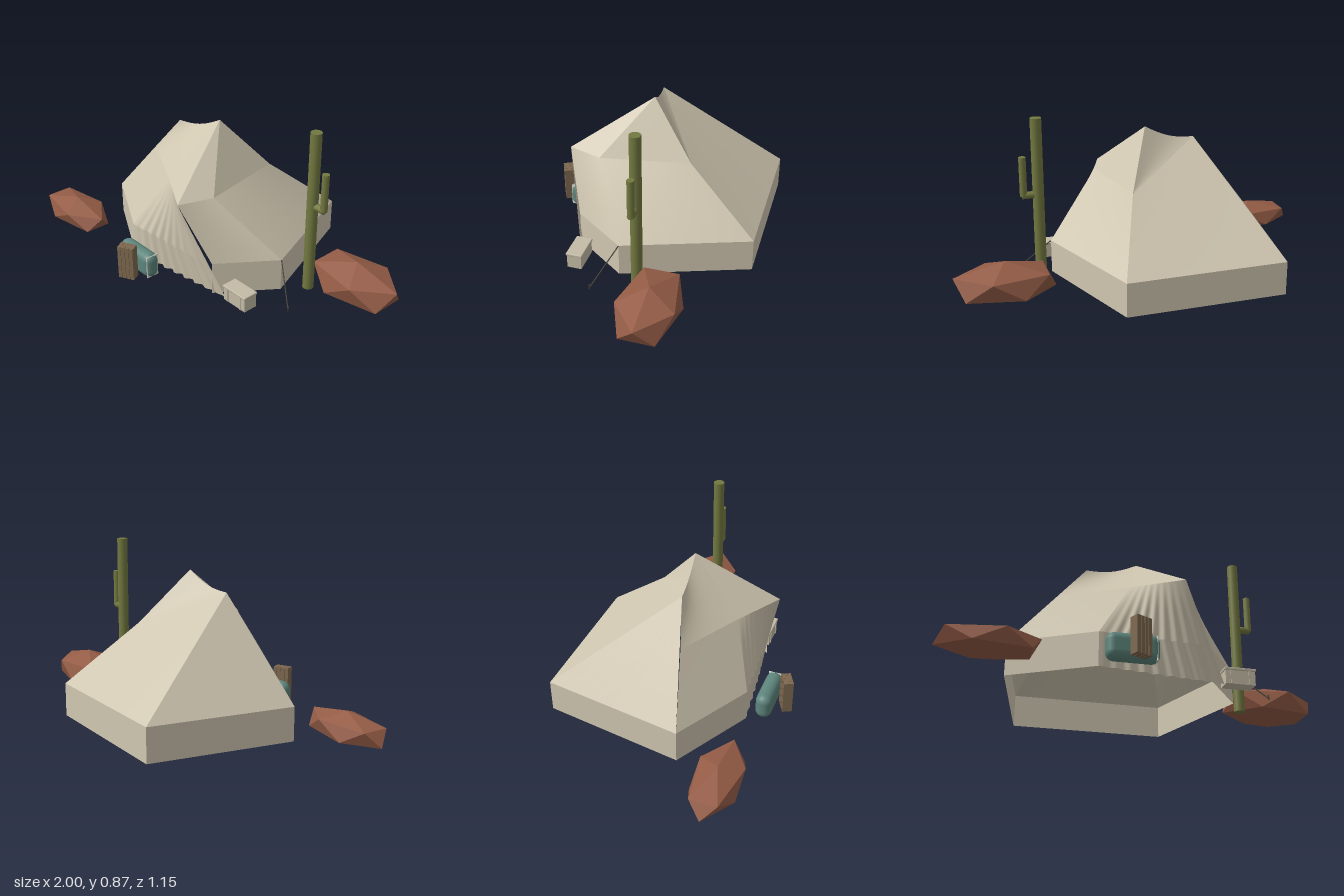
import * as THREE from 'three';
import { ConvexGeometry } from 'three/addons/geometries/ConvexGeometry.js';
import { RoundedBoxGeometry } from 'three/addons/geometries/RoundedBoxGeometry.js';

const material = (name, color) => {
  const m = new THREE.MeshStandardMaterial({ color });
  m.name = name;
  return m;
};

export function createModel() {
  const model = new THREE.Group();
  model.name = 'desertCamp';
  const canvas = material('canvas', 0xd0c7b1);
  canvas.side = THREE.DoubleSide;
  const rock = material('redRock', 0x945c46);
  const cactusGreen = material('cactusGreen', 0x737940);
  const teal = material('tealCloth', 0x5d857c);
  const wood = material('wood', 0x7d684f);
  const pale = material('paleBox', 0xc4bba6);
  const dark = material('darkRope', 0x4a4238);
  const white = material('whiteStrap', 0xd8d8d0);

  const v = (x, y, z) => new THREE.Vector3(x, y, z);
  const add = (name, geometry, mat, x = 0, y = 0, z = 0, parent = model) => {
    const mesh = new THREE.Mesh(geometry, mat);
    mesh.name = name;
    mesh.position.set(x, y, z);
    parent.add(mesh);
    return mesh;
  };

  // Cloth panel between a top edge (a to b) and a bottom edge (c to d)
  const tent = new THREE.Group();
  tent.name = 'tent';
  model.add(tent);
  const panel = (name, a, b, c, d, { sag = 0, nu = 8, nv = 4, pleat = null } = {}) => {
    const pos = [], idx = [];
    for (let j = 0; j <= nv; j++) {
      for (let i = 0; i <= nu; i++) {
        const s = i / nu, t = j / nv;
        const p = a.clone().lerp(b, s).lerp(c.clone().lerp(d, s), t);
        p.y -= sag * (1 - t) * Math.sin(Math.PI * s);
        if (pleat) p.z += pleat(s, t);
        pos.push(p.x, p.y, p.z);
        if (i < nu && j < nv) {
          const k = j * (nu + 1) + i;
          idx.push(k, k + nu + 1, k + 1, k + 1, k + nu + 1, k + nu + 2);
        }
      }
    }
    const g = new THREE.BufferGeometry();
    g.setAttribute('position', new THREE.Float32BufferAttribute(pos, 3));
    g.setIndex(idx);
    g.computeVertexNormals();
    return add(name, g, canvas, 0, 0, 0, tent);
  };

  // Two peaks, shoulder ring and eave ring
  const P = v(-0.01, 0.77, 0.005), G = v(-0.28, 0.69, 0.04);
  const H = v(0.12, 0.5, -0.22), R = v(0.2, 0.5, 0.23), F = v(0.14, 0.5, 0.405);
  const Q = v(-0.1, 0.5, 0.265), L = v(-0.43, 0.5, 0.09);
  const A = v(-0.55, 0.2, -0.565), B = v(0.255, 0.2, -0.577), C = v(0.48, 0.2, 0.04);
  const T = v(0.28, 0.2, 0.315), E = v(-0.27, 0.2, 0.375), D = v(-0.67, 0.2, 0.16);
  const ground = (p) => v(p.x, 0.03, p.z);

  // Upper roof
  panel('roofFrontLeft', G, P, L, Q, { sag: 0.022, nu: 12 });
  panel('roofRidgeBack', P, G, H, H, { sag: 0.022, nu: 12, nv: 8 });
  panel('roofDoorLeft', P, P, Q, F);
  panel('roofDoorRight', P, P, F, R);
  panel('roofRight', P, P, R, H);

  // Lower roof
  panel('roofBack', H, G, B, A);
  panel('roofSide', G, G, A, D);
  panel('slopeFrontLeft', L, Q, D, E);
  panel('slopeRight', R, H, C, B);
  panel('slopeFrontRight', F, R, T, C);

  // Pleated door sheet, upper and lower parts
  const S = v(0.35, 0.03, 0.29), M = F.clone().lerp(S, 0.638);
  const wave = (s) => Math.sin(s * Math.PI * 18) * Math.min(1, 4 * s * (1 - s));
  panel('doorSheetUpper', Q, F, E, M, { nu: 90, nv: 6, pleat: (s, t) => 0.007 * t * wave(s) });
  panel('doorSheetLower', E, M, ground(E), S, { nu: 90, nv: 4, pleat: (s, t) => (0.007 + 0.002 * t) * wave(s) });

  // Upright walls
  [[A, B], [B, C], [C, T], [E, D], [D, A]].forEach(([a, b], i) =>
    panel('wall' + (i + 1), a, b, ground(a), ground(b), { nu: 1, nv: 1 }));

  // Guy rope and peg
  const ropeEnd = v(0.63, 0.035, 0.14);
  add('guyRope', new THREE.TubeGeometry(new THREE.LineCurve3(C, ropeEnd), 1, 0.003, 6), dark);
  add('peg', new THREE.CylinderGeometry(0.004, 0.003, 0.025, 6), dark, 0.63, 0.04, 0.14);

  // Cactus with one bent arm
  const cactus = new THREE.Group();
  cactus.name = 'cactus';
  model.add(cactus);
  add('cactusTrunk', new THREE.CylinderGeometry(0.028, 0.028, 0.845, 16), cactusGreen, 0.555, 0.4525, -0.077, cactus);
  add('cactusElbow', new THREE.CylinderGeometry(0.018, 0.018, 0.075, 12), cactusGreen, 0.595, 0.495, -0.077, cactus)
    .rotation.z = Math.PI / 2;
  add('cactusArm', new THREE.CylinderGeometry(0.018, 0.018, 0.195, 12), cactusGreen, 0.627, 0.59, -0.077, cactus);

  // Faceted boulders: two poles and two rings of five
  const boulder = (name, rx, ry, rz, x, y, z) => {
    const pts = [v(0, ry, 0), v(0, -ry, 0)];
    for (let i = 0; i < 5; i++) {
      const a = i * Math.PI * 0.4;
      const px = rx * 0.894 * Math.cos(a), pz = rz * 0.894 * Math.sin(a);
      pts.push(v(px, ry * 0.447, pz), v(-px, -ry * 0.447, pz));
    }
    add(name, new ConvexGeometry(pts), rock, x, y, z);
  };
  boulder('boulderFront', 0.263, 0.081, 0.13, -0.765, 0.085, 0.4);
  boulder('boulderSide', 0.276, 0.107, 0.167, 0.752, 0.112, -0.2);

  // Bedroll with a narrow strap
  add('bedroll', new RoundedBoxGeometry(0.25, 0.135, 0.082, 6, 0.04), teal, -0.13, 0.0975, 0.449);
  add('bedrollStrap', new RoundedBoxGeometry(0.006, 0.13, 0.078, 1, 0.003), white, -0.022, 0.0975, 0.449)
    .scale.set(1, 0.93, 0.9);

  // Upright crate with slats on both faces
  const crate = new THREE.Group();
  crate.name = 'crate';
  crate.position.set(-0.111, 0.12, 0.534);
  crate.rotation.y = 0.47;
  model.add(crate);
  add('crateBody', new THREE.BoxGeometry(0.084, 0.178, 0.042), wood, 0, 0, 0, crate);
  for (let i = 0; i < 4; i++) {
    add('crateSlat' + (i + 1), new THREE.BoxGeometry(0.018, 0.18, 0.05), wood, -0.033 + i * 0.022, 0, 0, crate);
  }

  // Cool box with lid and front ribs
  const box = new THREE.Group();
  box.name = 'coolBox';
  box.position.set(0.428, 0, 0.267);
  model.add(box);
  add('boxBody', new THREE.BoxGeometry(0.148, 0.072, 0.074), pale, 0, 0.066, 0, box);
  add('boxLid', new RoundedBoxGeometry(0.156, 0.014, 0.084, 2, 0.004), pale, 0, 0.106, 0, box);
  for (const x of [-0.045, 0.045]) {
    add('boxRib', new THREE.BoxGeometry(0.008, 0.07, 0.006), pale, x, 0.066, 0.038, box);
  }
  return model;
}
